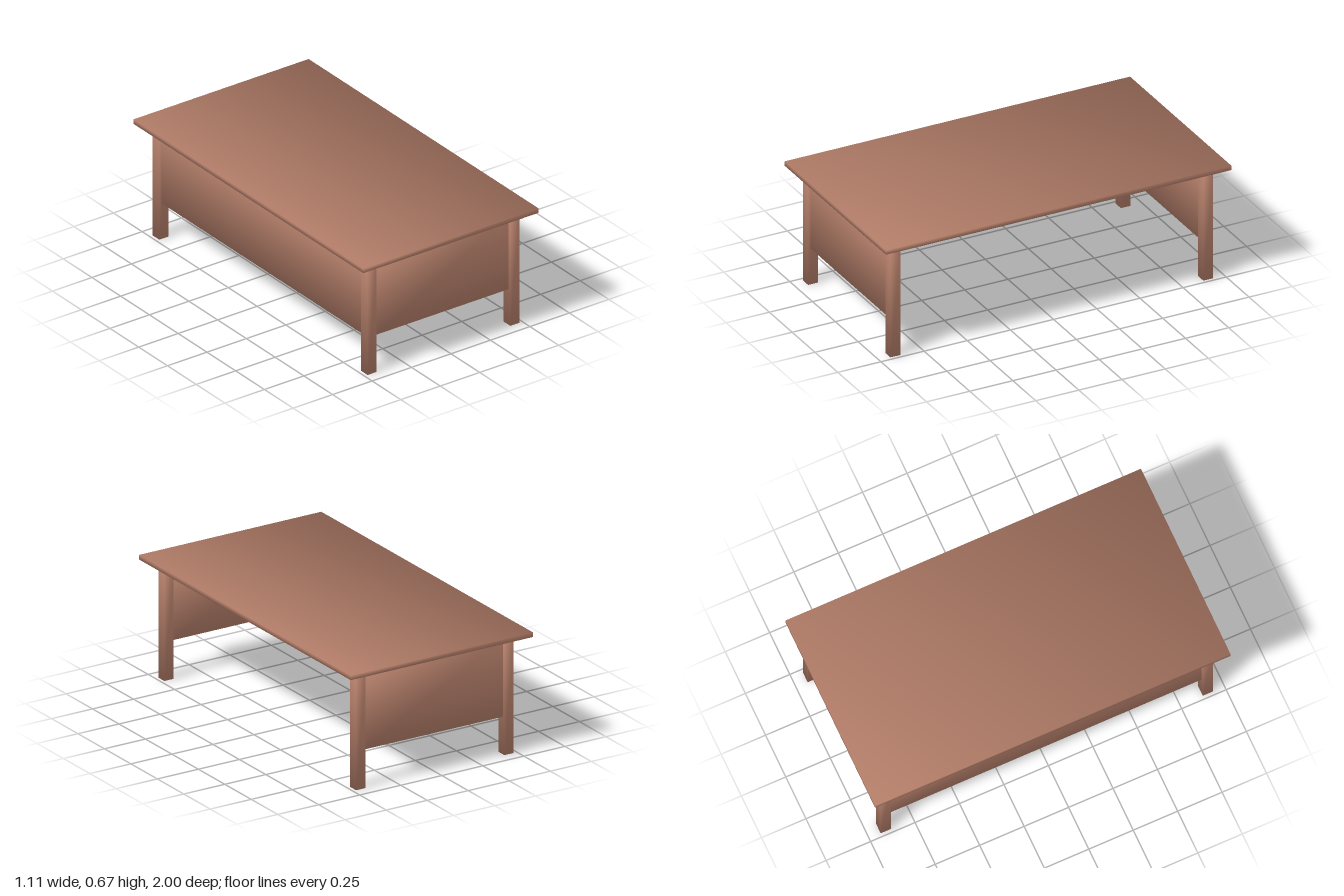
import * as THREE from 'three';

const wood = new THREE.MeshStandardMaterial({ color: 0xb57f6a });

const TOP_Y = 0.67, TOP_T = 0.026, UNDER = TOP_Y - TOP_T;
const LEG = 0.057, LEG_X = 0.452, LEG_Z = 0.906;
const PANEL_T = 0.028, PANEL_Y = 0.207;

// Box between two heights, with normals rounded towards its corners for soft shading
function board(name, width, depth, y0, y1, x = 0, z = 0) {
  const geometry = new THREE.BoxGeometry(width, y1 - y0, depth);
  const { position, normal } = geometry.attributes;
  const n = new THREE.Vector3();
  for (let i = 0; i < position.count; i++) {
    n.fromBufferAttribute(position, i);
    n.set(Math.sign(n.x), Math.sign(n.y), Math.sign(n.z)).normalize();
    normal.setXYZ(i, n.x, n.y, n.z);
  }
  const mesh = new THREE.Mesh(geometry, wood);
  mesh.name = name;
  mesh.position.set(x, (y0 + y1) / 2, z);
  return mesh;
}

export function createModel() {
  const desk = new THREE.Group();
  desk.name = 'desk';

  // Overhanging top
  desk.add(board('tableTop', 1.11, 2, UNDER, TOP_Y));

  // Four square legs, with a panel between each pair at the two ends
  for (const [end, sz] of [['front', 1], ['back', -1]]) {
    for (const [side, sx] of [['Left', 1], ['Right', -1]]) {
      desk.add(board(`${end}${side}Leg`, LEG, LEG, 0, UNDER, sx * LEG_X, sz * LEG_Z));
    }
    desk.add(board(`${end}Panel`, 2 * LEG_X - LEG, PANEL_T, PANEL_Y, UNDER, 0, sz * LEG_Z));
  }

  // Long modesty panel on one side only; the other side is open for seating
  desk.add(board('sidePanel', PANEL_T, 2 * LEG_Z - LEG, PANEL_Y, UNDER, -LEG_X, 0));

  return desk;
}
